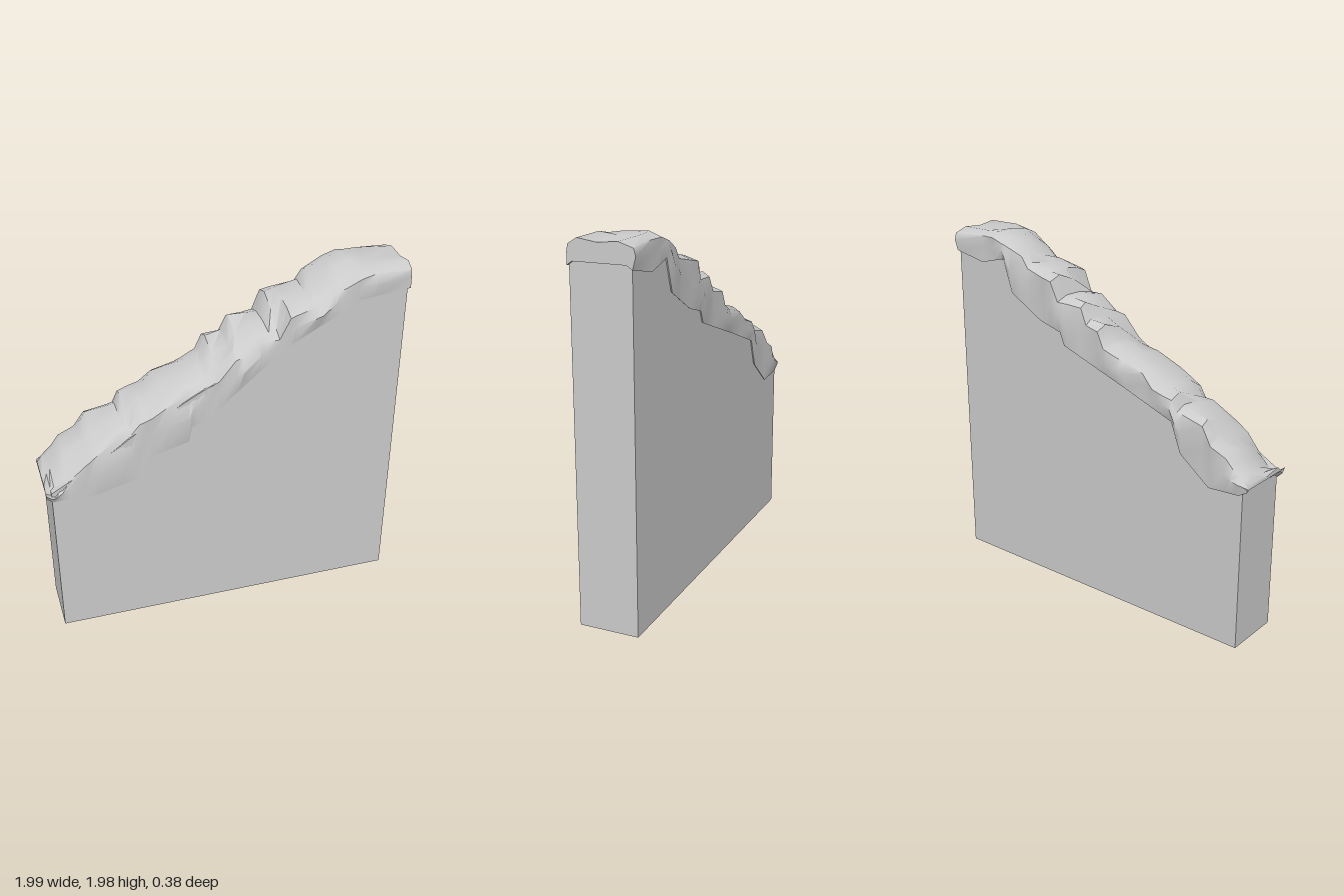
import * as THREE from 'three';
import { toCreasedNormals } from 'three/addons/utils/BufferGeometryUtils.js';

// Height profiles along x: [x, y]
const CREST = [[-1, 0.95], [-0.97, 0.99], [-0.91, 1.04], [-0.87, 1.09], [-0.78, 1.13], [-0.72, 1.22],
  [-0.56, 1.255], [-0.53, 1.315], [-0.41, 1.35], [-0.34, 1.415], [-0.17, 1.465], [-0.09, 1.5],
  [-0.05, 1.585], [0.04, 1.6], [0.08, 1.685], [0.23, 1.695], [0.275, 1.8], [0.46, 1.84],
  [0.5, 1.9], [0.61, 1.95], [0.7, 1.98], [0.99, 1.97]];
const FRONT_EDGE = [[-1, 0.9], [-0.97, 0.87], [-0.72, 0.87], [-0.48, 0.935], [-0.45, 1.05], [-0.22, 1.11],
  [-0.2, 1.2], [-0.12, 1.225], [0.17, 1.475], [0.33, 1.6], [0.57, 1.73], [0.71, 1.81], [0.99, 1.84]];
const BACK_EDGE = [[-1, 0.91], [-0.95, 0.88], [-0.77, 0.87], [-0.59, 1.01], [-0.53, 1.17], [-0.22, 1.285],
  [0.19, 1.43], [0.22, 1.5], [0.36, 1.54], [0.57, 1.66], [0.63, 1.84], [0.79, 1.8], [0.99, 1.84]];
const WALL_TOP = [[-0.97, 0.92], [-0.72, 1.06], [-0.5, 1.21], [0, 1.48], [0.5, 1.77], [0.7, 1.86], [0.975, 1.87]];

// Linear interpolation along a profile
function heightAt(profile, x) {
  let i = 1;
  while (i < profile.length - 1 && profile[i][0] < x) i++;
  const [x0, y0] = profile[i - 1], [x1, y1] = profile[i];
  return y0 + (y1 - y0) * THREE.MathUtils.clamp((x - x0) / (x1 - x0), 0, 1);
}

// Closed cross-section of the stone coping: front edge, over the crest, back edge
function copingSection(x) {
  const top = heightAt(CREST, x);
  const lag = (d) => Math.min(top, heightAt(CREST, x - d));
  const f = heightAt(FRONT_EDGE, x), b = heightAt(BACK_EDGE, x);
  const wave = (p) => 0.012 * Math.sin(x * 17 + p);
  const isEnd = Math.abs(x) > 0.98;
  const frontTop = isEnd ? top : lag(0.05) - 0.015 + wave(1);
  const backTop = top - 0.005;
  const mid = isEnd ? top - 0.015 : lag(0.02) - 0.01 + wave(3) * 0.6;
  return [
    [f + 0.02, 0.14],
    [f, 0.168],
    [f + (frontTop - f) * 0.5, 0.177 + wave(0)],
    [frontTop - 0.03, 0.16 + wave(2)],
    [frontTop, 0.11 + wave(5)],
    [mid, 0.01],
    [backTop, -0.11 + wave(4)],
    [backTop - 0.025, -0.168 + wave(6)],
    [b + (backTop - b) * 0.5, -0.177 + wave(1)],
    [b, -0.17],
    [b + 0.02, -0.14],
  ];
}

function copingGeometry() {
  // Stations at every corner of the profiles, merged where nearly coincident
  const xs = [...CREST, ...FRONT_EDGE, ...BACK_EDGE].map((p) => p[0]).sort((a, b) => a - b)
    .filter((x, i, all) => i === 0 || x - all[i - 1] > 0.008);
  const positions = [], index = [];
  const n = copingSection(0).length;
  xs.forEach((x) => copingSection(x).forEach(([y, z]) => positions.push(x, y, z)));
  for (let i = 0; i < xs.length - 1; i++) {
    for (let j = 0; j < n; j++) {
      const a = i * n + j, d = i * n + (j + 1) % n;
      index.push(a, a + n, d + n, a, d + n, d);
    }
  }
  // Close both ends
  [0, xs.length - 1].forEach((s) => {
    const shape = copingSection(xs[s]).map(([y, z]) => new THREE.Vector2(-z, y));
    THREE.ShapeUtils.triangulateShape(shape, []).forEach(([a, b, c]) => {
      const area = (shape[b].x - shape[a].x) * (shape[c].y - shape[a].y)
        - (shape[b].y - shape[a].y) * (shape[c].x - shape[a].x);
      const outward = (area > 0) === (s > 0);
      index.push(s * n + a, s * n + (outward ? b : c), s * n + (outward ? c : b));
    });
  });
  const geometry = new THREE.BufferGeometry();
  geometry.setAttribute('position', new THREE.Float32BufferAttribute(positions, 3));
  geometry.setIndex(index);
  return toCreasedNormals(geometry, 0.75);
}

export function createModel() {
  const group = new THREE.Group();
  const material = new THREE.MeshStandardMaterial({ color: 0xcccccc });
  const add = (name, geometry) => {
    const mesh = new THREE.Mesh(geometry, material);
    mesh.name = name;
    group.add(mesh);
  };

  // Flat wall slab with a sloping top
  const outline = new THREE.Shape([[-0.97, 0], [0.975, 0], ...[...WALL_TOP].reverse()]
    .map(([x, y]) => new THREE.Vector2(x, y)));
  const wall = new THREE.ExtrudeGeometry(outline, { depth: 0.325, bevelEnabled: false });
  wall.translate(0, 0, -0.1625);
  add('wall', wall);

  // Rough stepped stone along the top
  add('stoneCoping', copingGeometry());
  return group;
}
